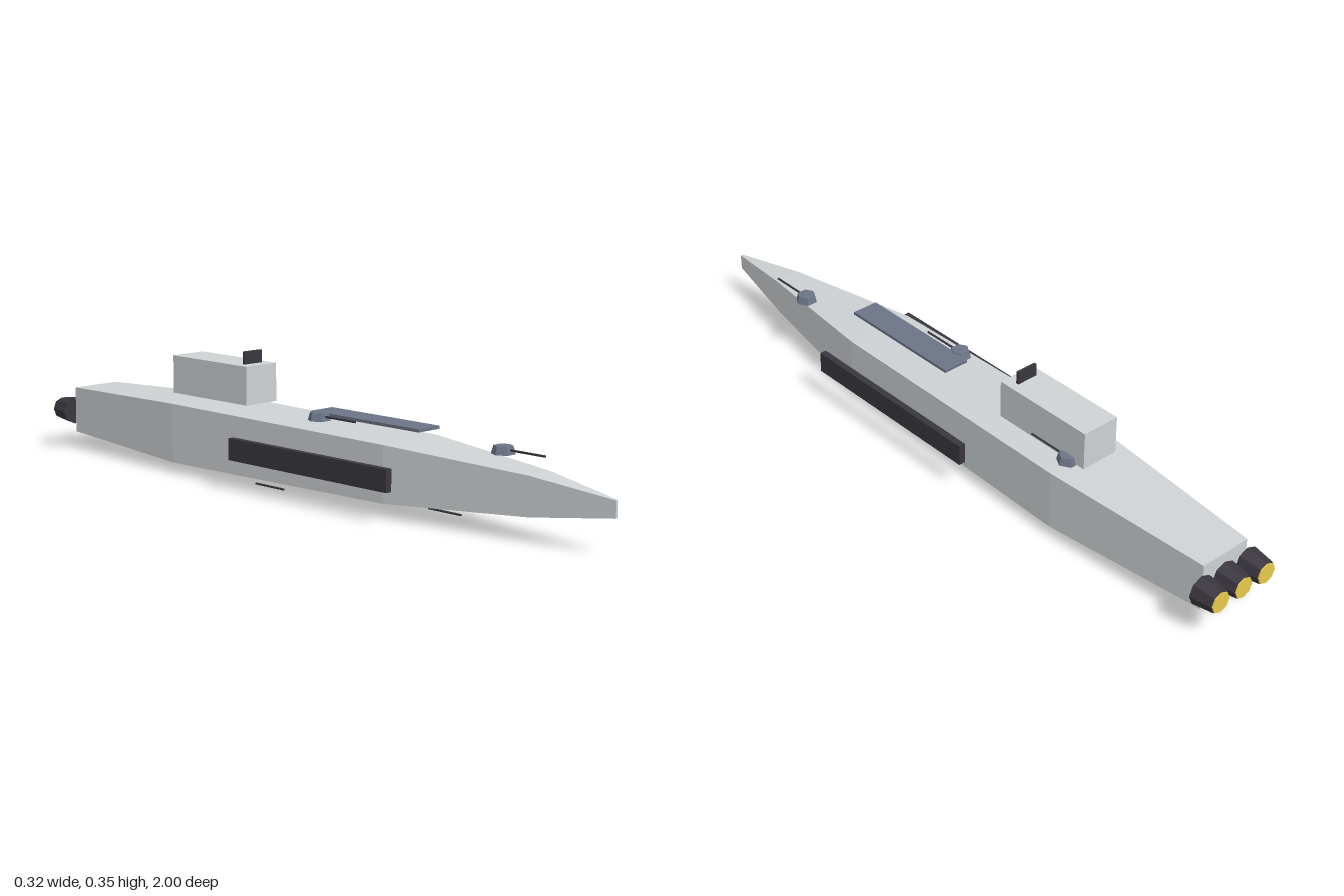
import * as THREE from 'three';

export function createModel() {
  const ship = new THREE.Group();
  ship.name = 'ship';

  const paint = (name, color) => {
    const m = new THREE.MeshStandardMaterial({ color, flatShading: true });
    m.name = name;
    return m;
  };
  const hullGrey = paint('hullGrey', 0xced2d4);
  const slate = paint('slate', 0x6c7486);
  const charcoal = paint('charcoal', 0x39373e);
  const gold = paint('gold', 0xe8ca4c);

  const add = (name, geometry, material, x, y, z, parent = ship) => {
    const mesh = new THREE.Mesh(geometry, material);
    mesh.name = name;
    mesh.position.set(x, y, z);
    parent.add(mesh);
    return mesh;
  };
  const box = (name, material, w, h, d, x, y, z) =>
    add(name, new THREE.BoxGeometry(w, h, d), material, x, y, z);

  // Hull: rectangular cross-sections [z, half width, bottom, top], stern to bow
  const sections = [
    [-0.935, 0.076, 0.048, 0.18],
    [-0.45, 0.111, 0.028, 0.194],
    [0.35, 0.1, 0.036, 0.186],
    [0.77, 0.04, 0.061, 0.162],
    [1, 0.004, 0.09, 0.133],
  ];
  const points = [];
  const faces = [];
  for (const [z, w, low, high] of sections) {
    points.push(-w, low, z, w, low, z, w, high, z, -w, high, z);
  }
  const quad = (a, b, c, d) => faces.push(a, b, c, a, c, d);
  for (let s = 0; s < sections.length - 1; s++) {
    for (let i = 0; i < 4; i++) {
      const j = (i + 1) % 4;
      quad(s * 4 + i, s * 4 + j, s * 4 + 4 + j, s * 4 + 4 + i);
    }
  }
  const bow = (sections.length - 1) * 4;
  quad(3, 2, 1, 0);
  quad(bow, bow + 1, bow + 2, bow + 3);
  const indexed = new THREE.BufferGeometry();
  indexed.setAttribute('position', new THREE.Float32BufferAttribute(points, 3));
  indexed.setIndex(faces);
  const hull = indexed.toNonIndexed();
  hull.computeVertexNormals();
  add('hull', hull, hullGrey, 0, 0, 0);

  // Bridge with its sensor panel, and the raised deck plate
  box('bridge', hullGrey, 0.11, 0.106, 0.305, 0, 0.265, -0.357);
  box('sensorPanel', charcoal, 0.062, 0.035, 0.008, 0, 0.336, -0.24);
  box('deckPlate', slate, 0.077, 0.008, 0.384, 0, 0.222, 0.222);

  // Side armour plates
  for (const side of [-1, 1]) {
    box(side > 0 ? 'leftArmour' : 'rightArmour', charcoal,
      0.019, 0.059, 0.58, side * 0.149, 0.112, 0.127);
  }

  // Gun barrels point forward along z
  const barrelShape = new THREE.CylinderGeometry(0.003, 0.003, 0.11, 6).rotateX(Math.PI / 2);

  // Six-sided deck turrets, points to the sides
  const turretShape = new THREE.CylinderGeometry(0.025, 0.031, 0.021, 6).rotateY(Math.PI / 6);
  const turrets = [[0.055, 0.19, 0.61], [-0.055, 0.219, 0.077], [0.055, 0.219, -0.455]];
  for (const [x, y, z] of turrets) {
    const turret = new THREE.Group();
    turret.name = 'turret';
    turret.position.set(x, y, z);
    add('turretBase', turretShape, slate, 0, 0, 0, turret);
    add('turretBarrel', barrelShape, charcoal, 0, 0.001, 0.077, turret);
    ship.add(turret);
  }

  // Barrels slung below the hull
  add('lowerFrontBarrel', barrelShape, charcoal, 0.055, 0.003, 0.42);
  add('lowerRearBarrel', barrelShape, charcoal, -0.055, 0.003, -0.113);

  // Three engine nozzles narrowing aft, with glowing exhausts
  const nozzleShape = new THREE.CylinderGeometry(0.04, 0.031, 0.062, 8)
    .rotateY(Math.PI / 2).rotateX(Math.PI / 2);
  const exhaustShape = new THREE.CylinderGeometry(0.029, 0.029, 0.006, 8)
    .rotateX(Math.PI / 2);
  for (const x of [-0.08, 0, 0.08]) {
    add('engineNozzle', nozzleShape, charcoal, x, 0.112, -0.966);
    add('engineExhaust', exhaustShape, gold, x, 0.112, -0.997);
  }

  return ship;
}
